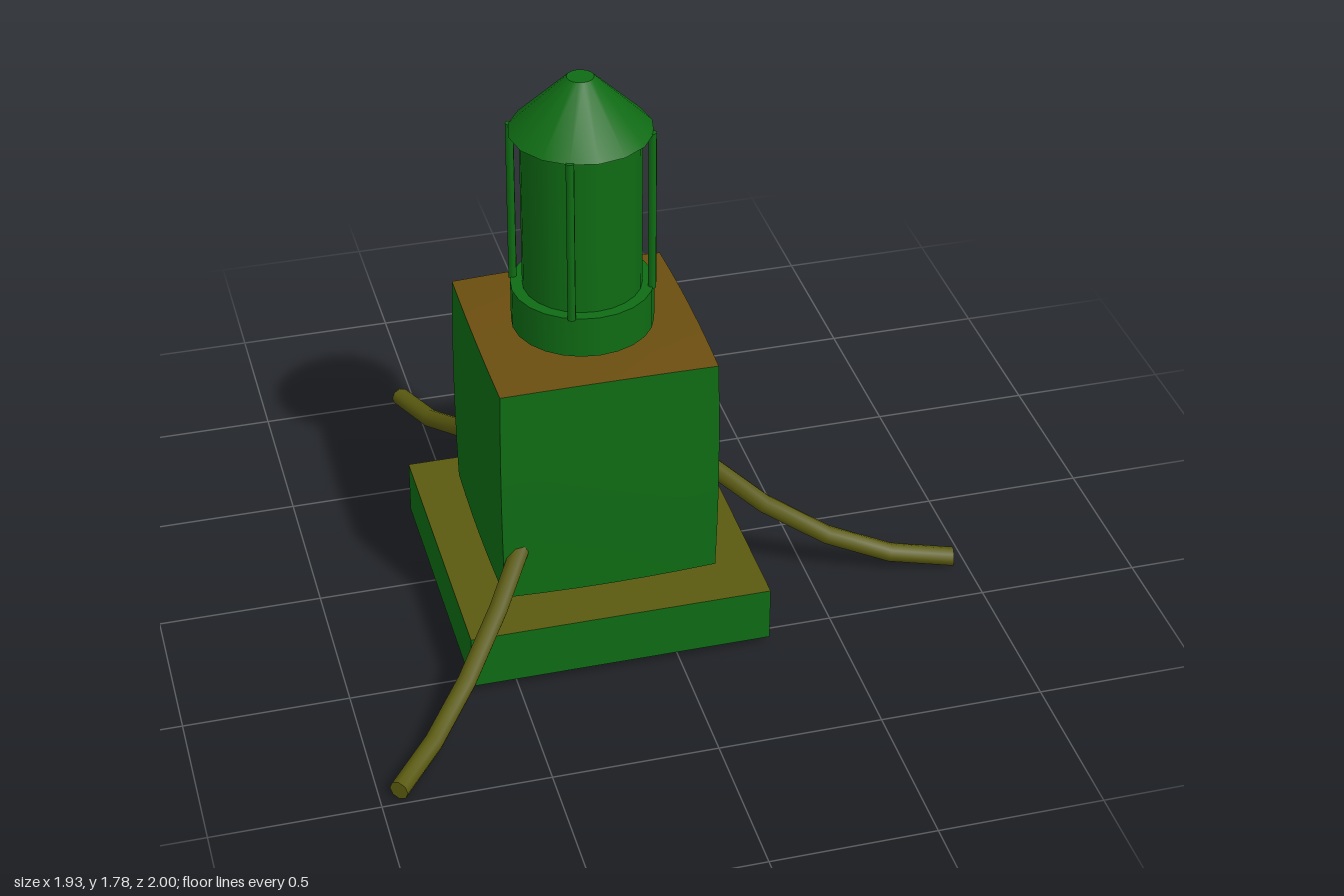
import * as THREE from 'three';

const mat = (color) => new THREE.MeshStandardMaterial({ color });
const GREEN = mat(0x0f6b14);
const OLIVE = mat(0x5a5a10);
const BROWN = mat(0x6b4e10);

export function createModel() {
  const model = new THREE.Group();
  // All parts share one vertical axis, offset from the centre by the uneven legs
  const tower = new THREE.Group();
  tower.name = 'tower';
  tower.position.set(-0.178, 0, 0.107);
  model.add(tower);

  const add = (name, geometry, material, parent = tower) => {
    const mesh = new THREE.Mesh(geometry, material);
    mesh.name = name;
    parent.add(mesh);
    return mesh;
  };
  // Cylinder or cone frustum between two heights
  const drum = (name, rTop, rBottom, y0, y1, sides = 16) => {
    const mesh = add(name, new THREE.CylinderGeometry(rTop, rBottom, y1 - y0, sides), GREEN);
    mesh.position.y = (y0 + y1) / 2;
    return mesh;
  };
  // Box sides green, top face in its own tone
  const topped = (top) => [GREEN, GREEN, top, GREEN, GREEN, GREEN];

  // Square base slab
  add('base', new THREE.BoxGeometry(0.925, 0.175, 0.925), topped(OLIVE)).position.y = 0.1175;

  // Body: a box whose faces swell slightly outwards
  const bodyGeo = new THREE.BoxGeometry(2, 2, 2, 6, 6, 6);
  const p = bodyGeo.attributes.position;
  for (let i = 0; i < p.count; i++) {
    const x = p.getX(i), y = p.getY(i), z = p.getZ(i);
    const swell = (a, b) => 1 + 0.015 * (2 - a * a - b * b);
    p.setXYZ(i, 0.327 * x * swell(y, z), 0.36 * y * swell(x, z), 0.327 * z * swell(x, y));
  }
  bodyGeo.computeVertexNormals();
  add('body', bodyGeo, topped(BROWN)).position.y = 0.595;

  // Lantern: collar, core, cap and four guard bars
  drum('lanternCollar', 0.213, 0.213, 0.975, 1.105, 24);
  drum('lanternCore', 0.178, 0.178, 1.1, 1.62, 24);
  drum('lanternCap', 0.04, 0.212, 1.617, 1.787);
  for (let i = 0; i < 4; i++) {
    const a = Math.PI * (i / 2 + 3 / 8);
    const bar = drum('guardBar', 0.0125, 0.0125, 1.1, 1.62, 8);
    bar.position.x = 0.208 * Math.sin(a);
    bar.position.z = 0.208 * Math.cos(a);
  }

  // Three curved legs, 120 degrees apart
  const curve = new THREE.QuadraticBezierCurve3(
    new THREE.Vector3(0.355, 0.45, 0),
    new THREE.Vector3(0.757, 0.035, 0),
    new THREE.Vector3(1.16, 0.035, 0)
  );
  // Sample at even parameter steps
  curve.getPointAt = (t, target) => curve.getPoint(t, target);
  curve.getTangentAt = (t, target) => curve.getTangent(t, target);
  const tubeGeo = new THREE.TubeGeometry(curve, 4, 0.03, 8);
  const capGeo = new THREE.CircleGeometry(0.03, 8);
  for (let i = 0; i < 3; i++) {
    const leg = new THREE.Group();
    leg.name = 'leg';
    leg.rotation.y = -THREE.MathUtils.degToRad(11.4 + 120 * i);
    tower.add(leg);
    add('legTube', tubeGeo, OLIVE, leg);
    for (const [t, sign] of [[0, -1], [1, 1]]) {
      const cap = add('legEnd', capGeo, OLIVE, leg);
      cap.position.copy(curve.getPoint(t));
      cap.quaternion.setFromUnitVectors(
        new THREE.Vector3(0, 0, 1), curve.getTangent(t).multiplyScalar(sign));
    }
  }
  return model;
}
